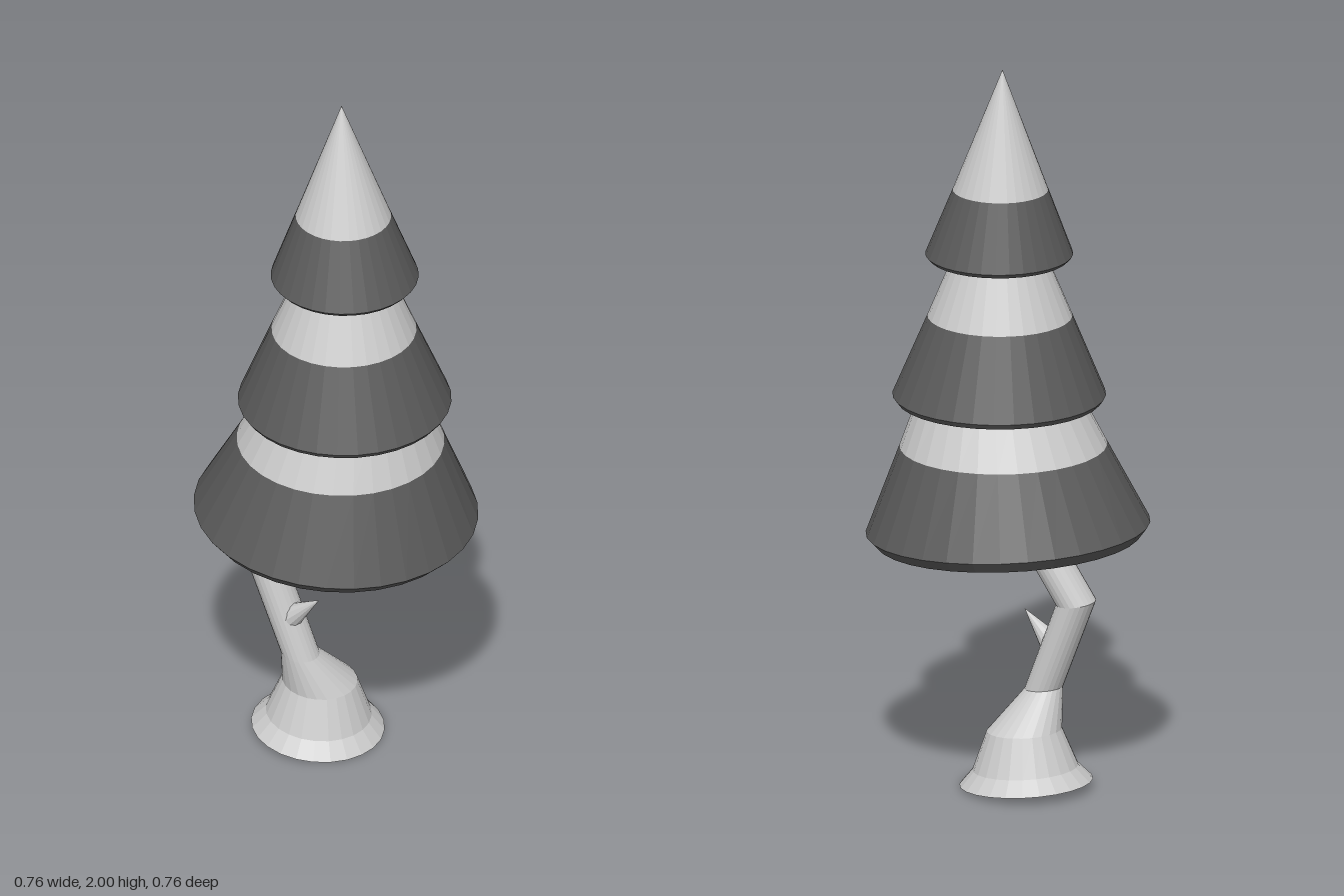
import * as THREE from 'three';

const light = new THREE.MeshStandardMaterial({ color: 0xcccccc });
light.name = 'pale grey';
const dark = new THREE.MeshStandardMaterial({ color: 0x5b5b5b });
dark.name = 'dark grey';

// Faceted skin through round rings [x, y, z, radius, slopeX, slopeZ], lowest ring first
function loft(name, material, rings, { sides = 32, bottom = false, top = false } = {}) {
  const point = ([x, y, z, r, sx = 0, sz = 0], j) => {
    const a = (j / sides) * Math.PI * 2;
    const dx = r * Math.cos(a), dz = r * Math.sin(a);
    return [x + dx, y + sx * dx + sz * dz, z + dz];
  };
  const pos = [];
  const tri = (...corners) => corners.forEach((c) => pos.push(...c));
  const first = rings[0], last = rings[rings.length - 1];
  for (let j = 0; j < sides; j++) {
    for (let i = 0; i < rings.length - 1; i++) {
      const a = point(rings[i], j), b = point(rings[i + 1], j);
      const c = point(rings[i], j + 1), d = point(rings[i + 1], j + 1);
      tri(a, b, c);
      if (rings[i + 1][3] > 0) tri(b, d, c);
    }
    if (bottom) tri(first.slice(0, 3), point(first, j), point(first, j + 1));
    if (top) tri(last.slice(0, 3), point(last, j + 1), point(last, j));
  }
  const geometry = new THREE.BufferGeometry();
  geometry.setAttribute('position', new THREE.Float32BufferAttribute(pos, 3));
  geometry.computeVertexNormals();
  const mesh = new THREE.Mesh(geometry, material);
  mesh.name = name;
  return mesh;
}

// One tier: dark skirt with a bevelled lip, pale upper part
function tier(name, under, rim, band, tip) {
  const group = new THREE.Group();
  group.name = name;
  group.add(
    loft(name + 'Skirt', dark, [under, rim, band], { bottom: true }),
    loft(name + 'Crown', light, [band, tip], { top: tip[3] > 0 })
  );
  return group;
}

export function createModel() {
  const tree = new THREE.Group();
  tree.name = 'tree';

  // Foliage
  tree.add(
    tier('lowerTier',
      [-0.002, 0.69, -0.002, 0.355, -0.047, -0.037],
      [0, 0.72, 0, 0.381, -0.05, -0.037],
      [0.013, 0.946, 0.012, 0.278, -0.014, -0.01],
      [0.024, 1.09, 0.022, 0.214]),
    tier('middleTier',
      [0.025, 1.07, 0.025, 0.275],
      [0.025, 1.085, 0.025, 0.286],
      [0.023, 1.305, 0.023, 0.194],
      [0.023, 1.49, 0.023, 0.117]),
    tier('upperTier',
      [0.025, 1.466, 0.025, 0.187],
      [0.025, 1.478, 0.025, 0.198],
      [0.021, 1.66, 0.017, 0.128],
      [0.015, 2, 0.003, 0])
  );

  // Crooked trunk with a flared foot
  tree.add(loft('trunk', light, [
    [-0.05, 0.014, -0.023, 0.179, -0.06, -0.045],
    [-0.048, 0.055, -0.024, 0.142, -0.06, -0.045],
    [-0.045, 0.16, -0.021, 0.101, -0.05, -0.04],
    [-0.095, 0.267, 0.016, 0.052, -0.08, -0.05],
    [-0.183, 0.517, -0.018, 0.054, -0.13, 0],
    [-0.04, 0.755, 0.032, 0.054, -0.13, 0],
  ], { sides: 24, bottom: true, top: true }));

  // Short pointed branch stub
  const from = new THREE.Vector3(-0.12, 0.382, 0.02);
  const along = new THREE.Vector3(-0.04, 0.469, 0.074).sub(from);
  const stub = loft('branchStub', light, [[0, 0, 0, 0.035], [0, along.length(), 0, 0]],
    { sides: 12, bottom: true });
  stub.position.copy(from);
  stub.quaternion.setFromUnitVectors(new THREE.Vector3(0, 1, 0), along.normalize());
  tree.add(stub);

  return tree;
}
